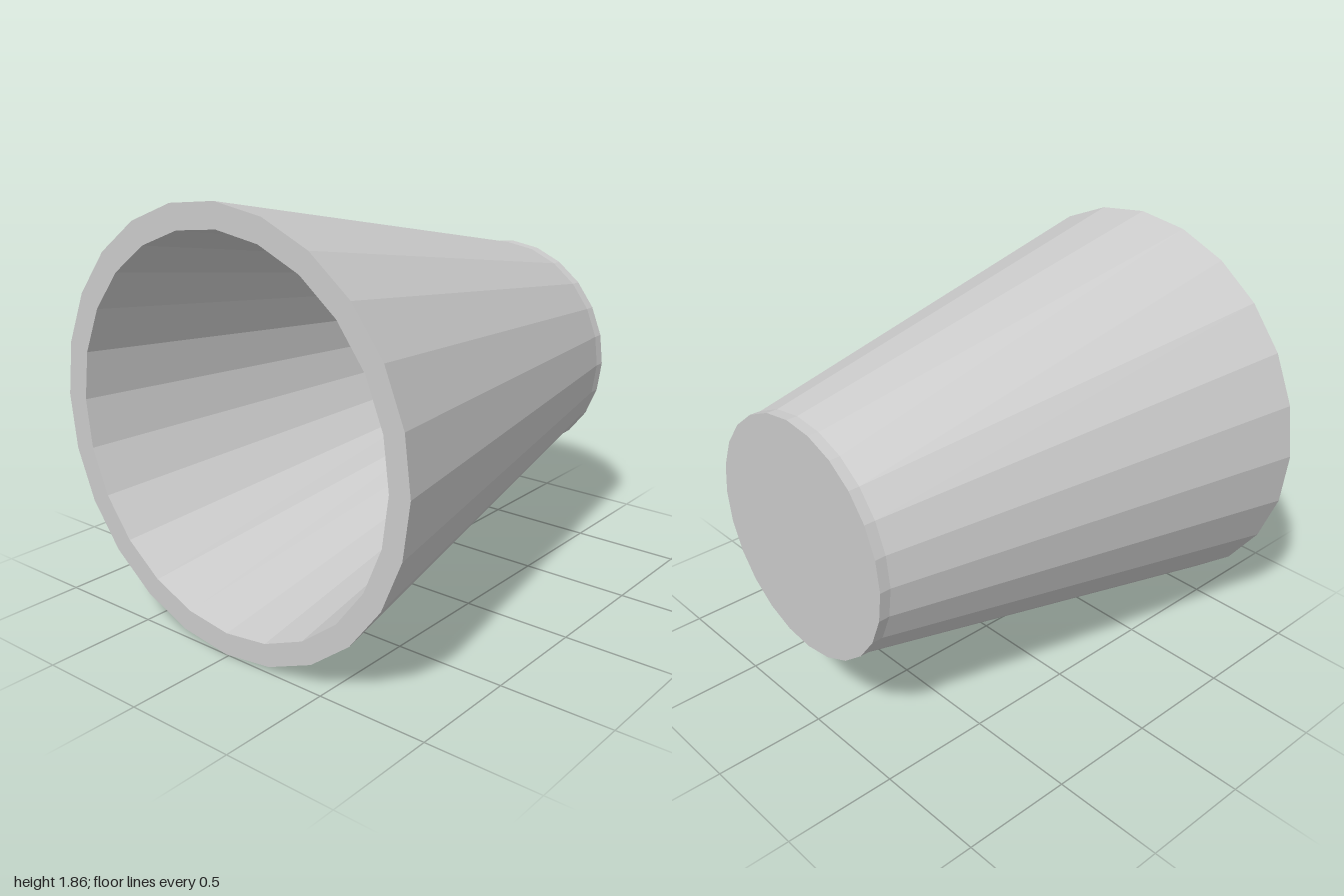
import * as THREE from 'three';

const SIDES = 24;
const TWIST = THREE.MathUtils.degToRad(-0.9);

// Skins a run of rings { z, r, x, y }; r = 0 closes the skin to a point.
function skinRings(rings) {
  const positions = [];
  const index = [];
  for (const { z, r, x, y } of rings) {
    for (let j = 0; j < SIDES; j++) {
      const a = (j / SIDES) * Math.PI * 2 + TWIST;
      positions.push(x + r * Math.cos(a), y + r * Math.sin(a), z);
    }
  }
  for (let i = 0; i < rings.length - 1; i++) {
    for (let j = 0; j < SIDES; j++) {
      const k = (j + 1) % SIDES;
      const a = i * SIDES + j, b = i * SIDES + k;
      const c = a + SIDES, d = b + SIDES;
      if (rings[i].r > 0) index.push(a, b, c);
      if (rings[i + 1].r > 0) index.push(b, d, c);
    }
  }
  const indexed = new THREE.BufferGeometry();
  indexed.setAttribute('position', new THREE.Float32BufferAttribute(positions, 3));
  indexed.setIndex(index);
  const geometry = indexed.toNonIndexed();
  geometry.computeVertexNormals();
  return geometry;
}

export function createModel() {
  const group = new THREE.Group();
  group.name = 'cup';
  const material = new THREE.MeshStandardMaterial({ color: 0xcccccc, flatShading: true });

  const base = { x: 0.035, y: 0.923 };
  const mouth = { x: 0, y: 0.935 };
  const innerMouth = { x: 0.006, y: 0.932 };
  const floor = { x: 0.043, y: 0.922 };

  // Cup lying on its side: base, short straight foot, slightly skewed wall, rim
  const shell = new THREE.Mesh(skinRings([
    { z: -1, r: 0, ...base },
    { z: -1, r: 0.535, ...base },
    { z: -0.95, r: 0.535, ...base },
    { z: 1, r: 0.932, ...mouth },
    { z: 1, r: 0.83, ...innerMouth },
  ]), material);
  shell.name = 'outerWallAndRim';

  // Hollow inside: tapered wall down to the flat floor
  const inside = new THREE.Mesh(skinRings([
    { z: 1, r: 0.83, ...innerMouth },
    { z: -0.95, r: 0.477, ...floor },
    { z: -0.95, r: 0, ...floor },
  ]), material);
  inside.name = 'innerWallAndFloor';

  group.add(shell, inside);
  return group;
}
